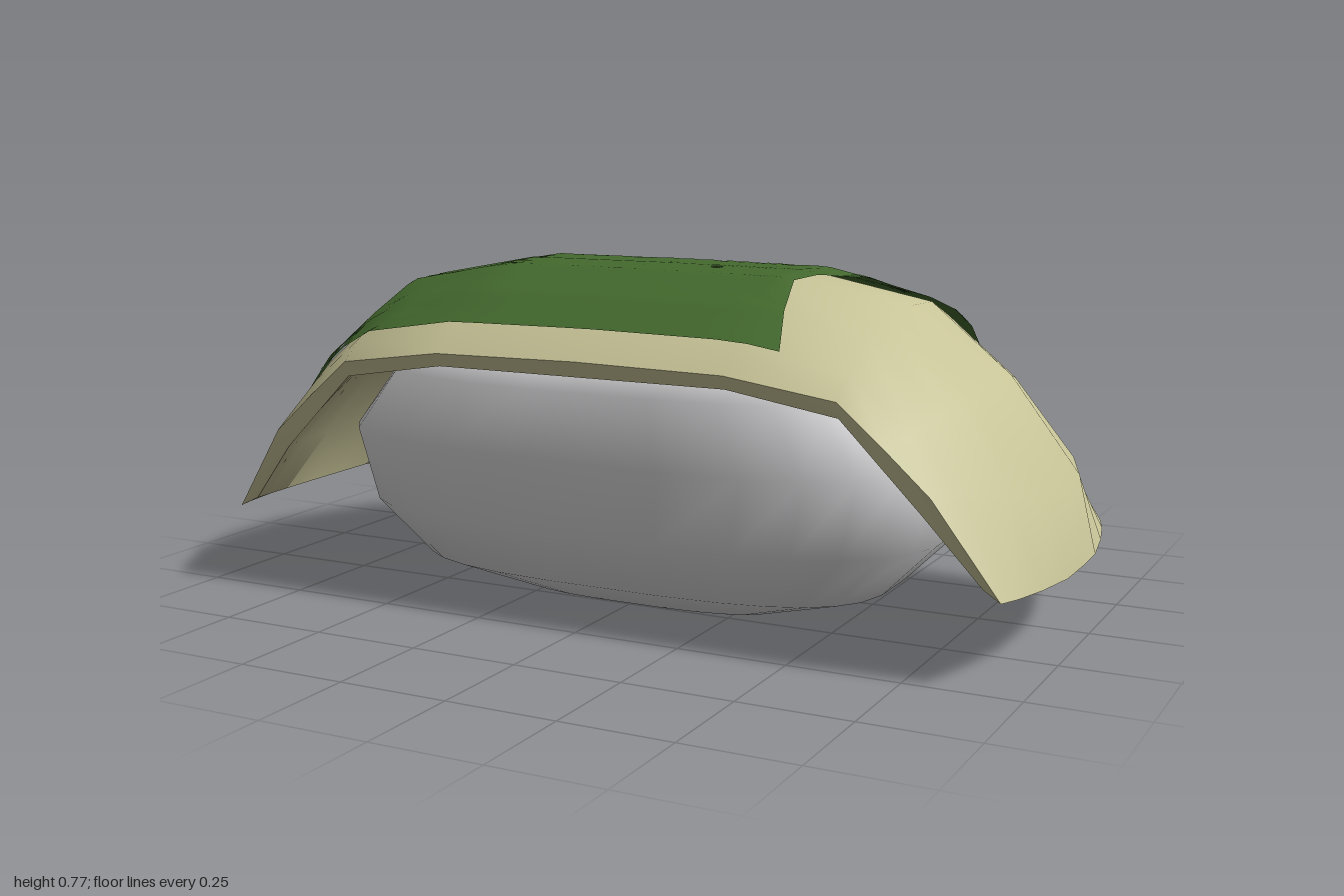
import * as THREE from 'three';
import { mergeVertices, toCreasedNormals } from 'three/addons/utils/BufferGeometryUtils.js';

const ZC = 0.08, ZH = 0.415; // centre and half depth of the topping

// Half profiles (x, y) of the topping, from the middle to one end
const CROWN = [[0, 0.757], [0.35, 0.755], [0.61, 0.705], [0.8, 0.55], [0.96, 0.34], [1, 0.17]];
const EDGE = [[0, 0.595], [0.35, 0.59], [0.6, 0.555], [0.7, 0.47], [0.8, 0.38], [0.94, 0.18]];
const CROWN_IN = [[0, 0.69], [0.33, 0.69], [0.56, 0.64], [0.73, 0.5], [0.89, 0.32], [0.95, 0.185]];
const EDGE_IN = [[0, 0.56], [0.35, 0.56], [0.6, 0.52], [0.69, 0.43], [0.78, 0.34], [0.9, 0.2]];
const DEPTH = [1, 1, 1, 1, 1, 0.94];
// How far the cross-section has dropped from crown to edge at each step across
const STEPS = [[0, 0], [0.29, 0.03], [0.6, 0.33], [0.85, 0.69], [1, 1]];

const lerp = THREE.MathUtils.lerp;

function interp(points, x) {
  for (let i = 1; i < points.length; i++) {
    const [x0, y0] = points[i - 1], [x1, y1] = points[i];
    if (x <= x1) return lerp(y0, y1, (x - x0) / (x1 - x0));
  }
  return points[points.length - 1][1];
}

const blend = (a, b, t) => a.map((p, i) => [lerp(p[0], b[i][0], t), lerp(p[1], b[i][1], t)]);

// Closed skin through rings that run counter-clockwise seen from the far end
function loft(rings) {
  const n = rings[0].length, last = (rings.length - 1) * n, index = [];
  for (let i = 0; i < rings.length - 1; i++) {
    for (let j = 0; j < n; j++) {
      const a = i * n + j, b = i * n + (j + 1) % n;
      index.push(a, b, b + n, a, b + n, a + n);
    }
  }
  for (let j = 0; j < n / 2 - 1; j++) {
    const a = j, b = j + 1, c = n - 2 - j, d = n - 1 - j;
    index.push(a, c, b, a, d, c);
    index.push(last + a, last + b, last + c, last + a, last + c, last + d);
  }
  const geo = new THREE.BufferGeometry();
  geo.setAttribute('position', new THREE.Float32BufferAttribute(rings.flat(2), 3));
  geo.setIndex(index);
  geo.computeVertexNormals();
  return geo;
}

// Rounded pillow of rice
function riceGeometry() {
  const levels = [[0, 0.34, 0.165], [0.07, 0.58, 0.3], [0.2, 0.71, 0.375], [0.37, 0.76, 0.395],
    [0.52, 0.64, 0.375], [0.57, 0.55, 0.34], [0.64, 0.42, 0.22]];
  const pow = (c) => Math.sign(c) * Math.abs(c) ** 0.65;
  return loft(levels.map(([y, rx, rz]) => Array.from({ length: 28 }, (_, j) => {
    const a = (j + 0.5) / 28 * Math.PI * 2;
    return [rx * pow(Math.cos(a)), y, ZC - rz * pow(Math.sin(a))];
  })));
}

// Slice bent over the rice, with an inner and an outer skin
function toppingGeometry() {
  const across = [...STEPS.slice(1).reverse().map(([v, d]) => [-v, d]), ...STEPS];
  const ring = (i, side) => {
    const point = (crown, edge, v, d, scale) => [
      side * lerp(crown[i][0], edge[i][0], d), lerp(crown[i][1], edge[i][1], d),
      ZC + v * ZH * DEPTH[i] * scale];
    return [...across.map(([v, d]) => point(CROWN, EDGE, v, d, 1)),
      ...[...across].reverse().map(([v, d]) => point(CROWN_IN, EDGE_IN, v, d, 0.97))];
  };
  const rings = [];
  for (let i = 5; i > 0; i--) rings.push(ring(i, -1));
  for (let i = 0; i < 6; i++) rings.push(ring(i, 1));
  return toCreasedNormals(loft(rings), 0.8);
}

// Height of the topping, continued as a slope behind its back edge
function surfaceY(x, z) {
  const v = Math.min(1, Math.abs(z - ZC) / ZH);
  const y = interp(blend(CROWN, EDGE, interp(STEPS, v)), Math.abs(x));
  return y - Math.max(0, ZC - ZH - z) * 0.6;
}

// Flat shape laid over the topping: split finely, then lifted to the surface
function drape(shape, levels, lift) {
  const flat = new THREE.ShapeGeometry(shape, 3).toNonIndexed().getAttribute('position');
  let tris = [];
  for (let i = 0; i < flat.count; i += 3) {
    tris.push([0, 1, 2].map((k) => [flat.getX(i + k), flat.getY(i + k)]));
  }
  const mid = (p, q) => [(p[0] + q[0]) / 2, (p[1] + q[1]) / 2];
  for (let l = 0; l < levels; l++) {
    tris = tris.flatMap(([a, b, c]) => {
      const ab = mid(a, b), bc = mid(b, c), ca = mid(c, a);
      return [[a, ab, ca], [ab, b, bc], [ca, bc, c], [ab, bc, ca]];
    });
  }
  const position = tris.flat().flatMap(([x, y]) => [x, surfaceY(x, -y) + lift(-y), -y]);
  let geo = new THREE.BufferGeometry();
  geo.setAttribute('position', new THREE.Float32BufferAttribute(position, 3));
  geo = mergeVertices(geo, 1e-5);
  geo.computeVertexNormals();
  return geo;
}

// Small uneven spot
function spot(x, z, rx, rz, turn = 0) {
  const path = new THREE.Shape();
  path.absellipse(x, -z, rx, rz, 0, Math.PI * 2, false, turn);
  return path;
}

function leafGeometry() {
  const outline = [[-0.72, 0.435], [0.45, 0.435], [0.41, 0.32], [0.38, 0.2], [0.39, 0.1], [0.44, 0],
    [0.49, -0.1], [0.57, -0.18], [0.63, -0.27], [0.63, -0.4], [0.585, -0.465], [0.545, -0.44],
    [0.525, -0.39], [0.49, -0.46], [0.43, -0.49], [0.37, -0.46], [0.27, -0.495], [0.18, -0.43],
    [-0.03, -0.495], [0, -0.4], [-0.01, -0.29], [-0.07, -0.285], [-0.12, -0.34], [-0.215, -0.44],
    [-0.2, -0.35], [-0.21, -0.26], [-0.25, -0.25], [-0.42, -0.32], [-0.38, -0.22], [-0.47, -0.14],
    [-0.44, -0.09], [-0.57, -0.05], [-0.53, 0.04], [-0.72, 0.09], [-0.6, 0.2], [-0.86, 0.31], [-0.65, 0.36]];
  const shape = new THREE.Shape(outline.map(([x, z]) => new THREE.Vector2(x, -z)));
  shape.holes.push(spot(-0.34, -0.1, 0.015, 0.012), spot(0.15, 0.105, 0.015, 0.015));
  return drape(shape, 4, (z) => 0.015 + 0.025 * THREE.MathUtils.clamp(-z / 0.25, 0, 1));
}

export function createModel() {
  const material = (name, color, side = THREE.FrontSide) =>
    new THREE.MeshStandardMaterial({ name, color, side });
  const white = material('riceWhite', 0xdadadc);
  const tan = material('toppingTan', 0xc8c498);
  const green = material('leafGreen', 0x446a2e, THREE.DoubleSide);

  const model = new THREE.Group();
  model.name = 'sushi';
  const add = (name, geometry, mat) => {
    const mesh = new THREE.Mesh(geometry, mat);
    mesh.name = name;
    model.add(mesh);
  };
  add('rice', riceGeometry(), white);
  add('topping', toppingGeometry(), tan);
  add('leaf', leafGeometry(), green);

  // Pale flecks lying on the topping
  const flecks = [[-0.735, -0.01, 0.035, 0.018, 0.6], [0.53, -0.1, 0.05, 0.018, -1.1],
    [-0.22, -0.28, 0.03, 0.02, 0.5], [-0.025, -0.315, 0.025, 0.02, 0]];
  for (const f of flecks) add('fleck', drape(spot(...f), 1, () => 0.008), white);
  return model;
}
